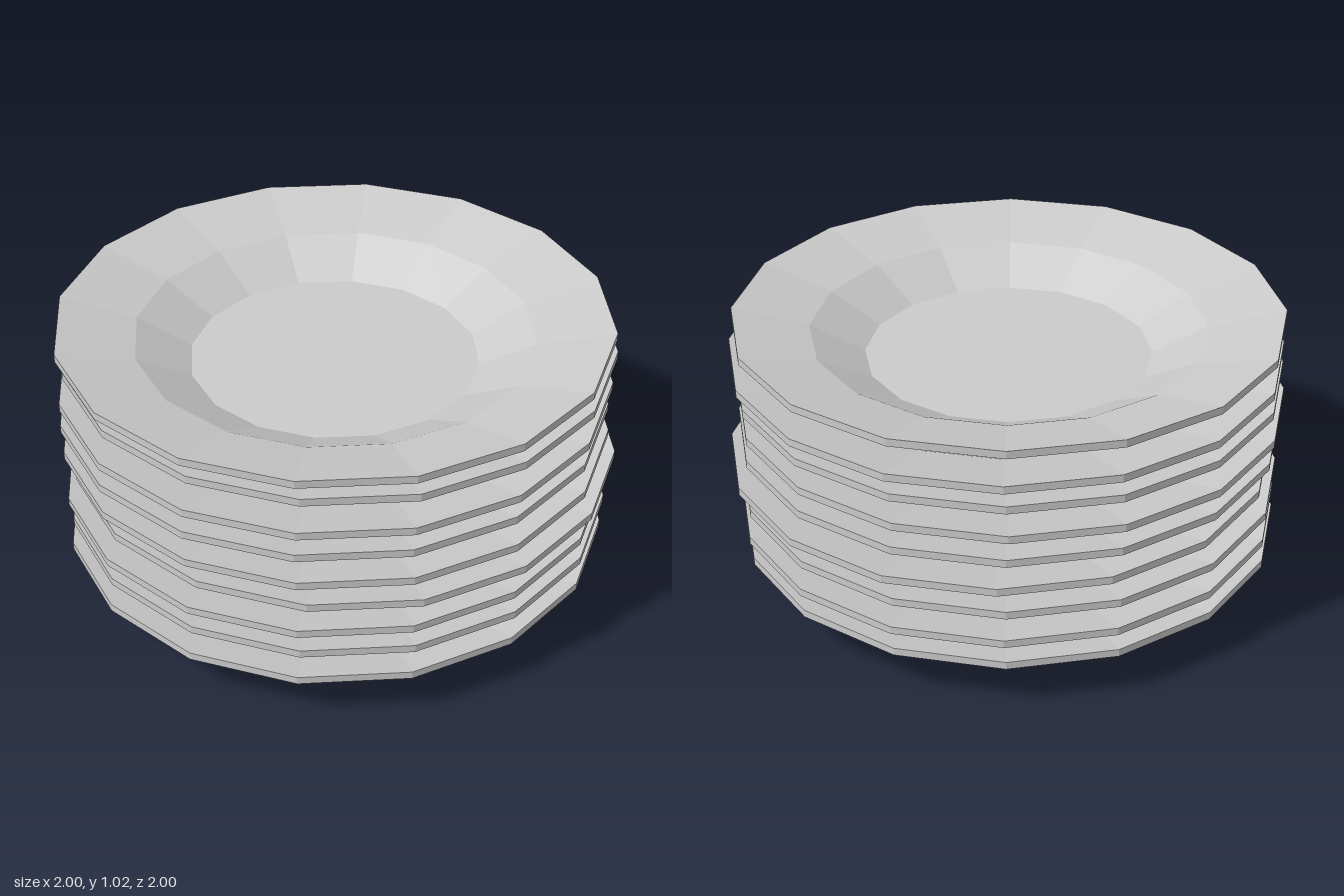
import * as THREE from 'three';

// Half section of one plate: underside from the centre out, over the rim, back along the top
const PROFILE = [
  [0, 0], [0.515, 0], [0.71, 0.11], [0.915, 0.178],
  [0.985, 0.178], [0.985, 0.206],
  [0.71, 0.14], [0.515, 0.04], [0, 0.04],
].map(([r, y]) => new THREE.Vector2(r, y));

// Slight sideways shift [x, z] of each plate, bottom to top
const SHIFTS = [
  [-0.018, 0.018], [-0.004, 0.004], [-0.018, 0.018], [0.017, 0.018], [-0.018, 0.018],
  [-0.018, 0], [-0.018, 0.018], [0.01, -0.017], [-0.018, 0.018],
];
const SIDES = 16;
const SPACING = 0.1015;
const TURN = THREE.MathUtils.degToRad(-4.7);

export function createModel() {
  const stack = new THREE.Group();
  stack.name = 'plateStack';
  const material = new THREE.MeshStandardMaterial({ color: 0xcccccc, flatShading: true });
  const geometry = new THREE.LatheGeometry(PROFILE, SIDES, TURN);

  // Identical plates, each resting loosely in the one below
  SHIFTS.forEach(([x, z], i) => {
    const plate = new THREE.Mesh(geometry, material);
    plate.name = `plate${i + 1}`;
    plate.position.set(x, i * SPACING, z);
    stack.add(plate);
  });
  return stack;
}
